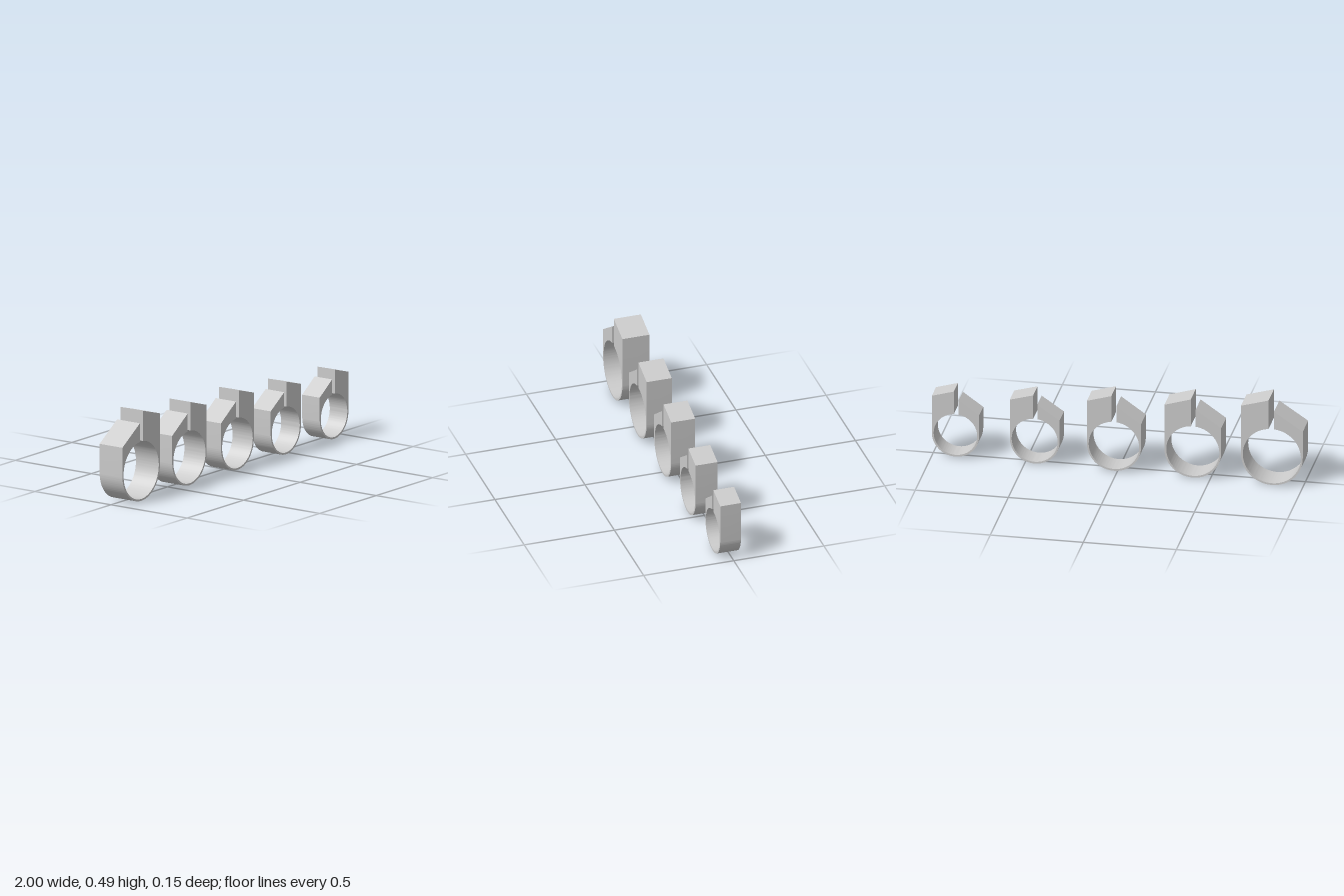
import * as THREE from 'three';
import { toCreasedNormals } from 'three/addons/utils/BufferGeometryUtils.js';

const WALL = 0.01;   // thickness of the band
const FRONT = 0.075; // all front faces share this plane

// One row per split ring: centre x, outer radius, lowest y, back z,
// slit edges in x, then heights of the two sloped tops from left to right
const RINGS = [
  { cx: -0.834, R: 0.166, base: 0, back: -0.075, slit: [-0.845, -0.816], tops: [0.32, 0.423, 0.485, 0.443] },
  { cx: -0.407, R: 0.1525, base: 0.002, back: -0.064, slit: [-0.422, -0.396], tops: [0.299, 0.394, 0.451, 0.409] },
  { cx: 0.018, R: 0.1455, base: 0.003, back: -0.058, slit: [0.005, 0.032], tops: [0.283, 0.376, 0.432, 0.394] },
  { cx: 0.446, R: 0.1335, base: 0.004, back: -0.047, slit: [0.432, 0.454], tops: [0.263, 0.344, 0.396, 0.361] },
  { cx: 0.873, R: 0.127, base: 0.005, back: -0.04, slit: [0.856, 0.882], tops: [0.253, 0.331, 0.379, 0.345] },
];

function splitRing({ cx, R, base, back, slit, tops }) {
  const cy = base + R;
  const r = R - WALL;
  const [xl, xr] = slit.map((x) => x - cx);
  const [outerLeft, innerLeft, innerRight, outerRight] = tops.map((y) => y - cy);

  // Outer outline: sloped left lug, round band, sloped right lug
  const shape = new THREE.Shape();
  shape.moveTo(xl, innerLeft);
  shape.lineTo(-R, outerLeft);
  shape.lineTo(-R, 0);
  shape.absarc(0, 0, R, Math.PI, Math.PI * 2, false);
  shape.lineTo(R, outerRight);
  shape.lineTo(xr, innerRight);
  // Down the slit and back round the bore
  shape.absarc(0, 0, r, Math.acos(xr / r), Math.acos(xl / r), true);
  shape.closePath();

  const extruded = new THREE.ExtrudeGeometry(shape, {
    depth: FRONT - back,
    bevelEnabled: false,
    curveSegments: 64,
  });
  const mesh = new THREE.Mesh(
    toCreasedNormals(extruded, 0.4),
    new THREE.MeshStandardMaterial({ color: 0xcccccc })
  );
  mesh.position.set(cx, cy, back);
  return mesh;
}

export function createModel() {
  const group = new THREE.Group();
  group.name = 'splitRingSet';
  RINGS.forEach((spec, i) => {
    const ring = splitRing(spec);
    ring.name = `splitRing${i + 1}`;
    group.add(ring);
  });
  return group;
}
